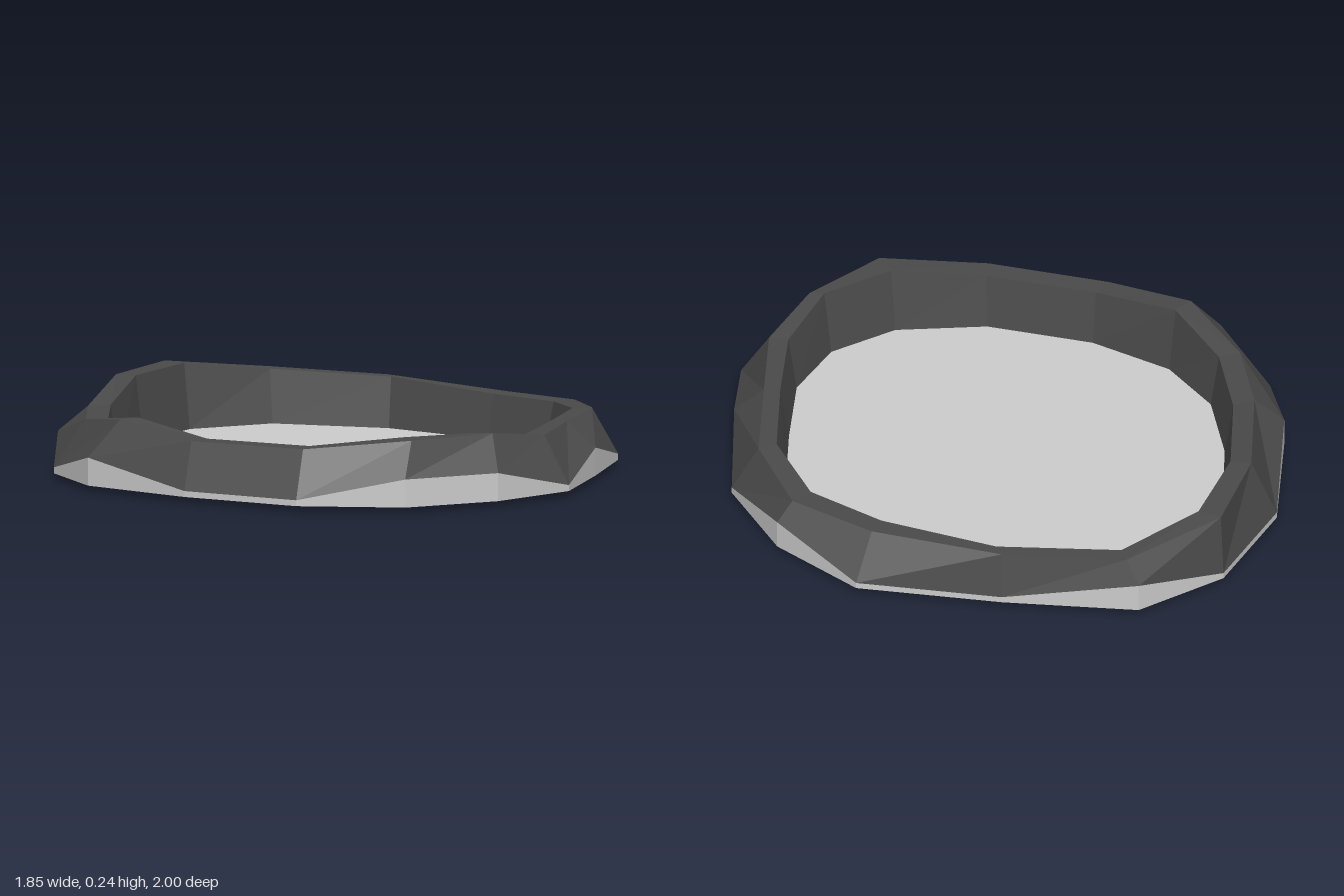
import * as THREE from 'three';

// Sixteen stations around the basin, clockwise from the back: [x, z, y]
const WIDEST = [
  [-0.46, -1.0, 0.115], [0, -0.96, 0.04], [0.49, -0.88, 0.04], [0.76, -0.62, 0.115],
  [0.92, -0.28, 0.04], [0.92, 0.1, 0.115], [0.905, 0.47, 0.04], [0.72, 0.75, 0.115],
  [0.445, 0.96, 0.115], [0.08, 1.0, 0.04], [-0.33, 0.865, 0.04], [-0.7, 0.67, 0.115],
  [-0.87, 0.41, 0.04], [-0.925, 0.07, 0.115], [-0.91, -0.4, 0.04], [-0.74, -0.79, 0.04],
];
const RIM_OUTER = [
  [-0.42, -0.97, 0.2], [0, -0.93, 0.19], [0.44, -0.76, 0.17], [0.71, -0.58, 0.175],
  [0.83, -0.28, 0.195], [0.82, 0.09, 0.2], [0.81, 0.42, 0.2], [0.68, 0.65, 0.235],
  [0.45, 0.88, 0.235], [0.085, 0.91, 0.2], [-0.32, 0.8, 0.2], [-0.6, 0.62, 0.24],
  [-0.77, 0.36, 0.2], [-0.825, 0.06, 0.2], [-0.825, -0.41, 0.24], [-0.73, -0.76, 0.24],
];
const RIM_INNER = [
  [-0.4, -0.91], [0.02, -0.88], [0.41, -0.69], [0.65, -0.52],
  [0.77, -0.25], [0.765, 0.09], [0.745, 0.41], [0.63, 0.65],
  [0.41, 0.8], [0.09, 0.83], [-0.28, 0.73], [-0.55, 0.56],
  [-0.7, 0.33], [-0.755, 0.02], [-0.755, -0.4], [-0.655, -0.72],
];

// Joins successive rings with flat quads; a one-point ring closes as a fan
function loft(name, rings, material) {
  const pos = [];
  const n = WIDEST.length;
  for (let r = 0; r < rings.length - 1; r++) {
    const a = rings[r], b = rings[r + 1];
    for (let i = 0; i < n; i++) {
      const j = (i + 1) % n;
      const a0 = a[i % a.length], a1 = a[j % a.length];
      const b0 = b[i % b.length], b1 = b[j % b.length];
      if (a.length > 1) pos.push(...a1, ...a0, ...b0);
      if (b.length > 1) pos.push(...a1, ...b0, ...b1);
    }
  }
  const geometry = new THREE.BufferGeometry();
  geometry.setAttribute('position', new THREE.Float32BufferAttribute(pos, 3));
  geometry.computeVertexNormals();
  const mesh = new THREE.Mesh(geometry, material);
  mesh.name = name;
  return mesh;
}

export function createModel() {
  const pale = new THREE.MeshStandardMaterial({ color: 0xcccccc, flatShading: true });
  const dark = new THREE.MeshStandardMaterial({ color: 0x4a4a4a, flatShading: true });

  const widest = WIDEST.map(([x, z, y]) => [x, y, z]);
  const foot = WIDEST.map(([x, z]) => [x, 0.02, z]);
  const base = WIDEST.map(([x, z]) => [x * 0.86, 0, z * 0.86]);
  const rimOuter = RIM_OUTER.map(([x, z, y]) => [x, y, z]);
  const rimInner = RIM_INNER.map(([x, z], i) => [x, RIM_OUTER[i][2], z]);
  const floor = RIM_INNER.map(([x, z]) => [x * 0.962, 0.02, z * 0.962]);

  const group = new THREE.Group();
  group.name = 'basin';
  // Underside with its bevel and the zigzag skirt
  group.add(loft('base', [[[0, 0, 0]], base, foot, widest], pale));
  // Sloping outer wall, flat rim and inner wall
  group.add(loft('rimWall', [widest, rimOuter, rimInner, floor], dark));
  // Flat floor inside
  group.add(loft('floor', [floor, [[0, 0.02, 0]]], pale));
  return group;
}
